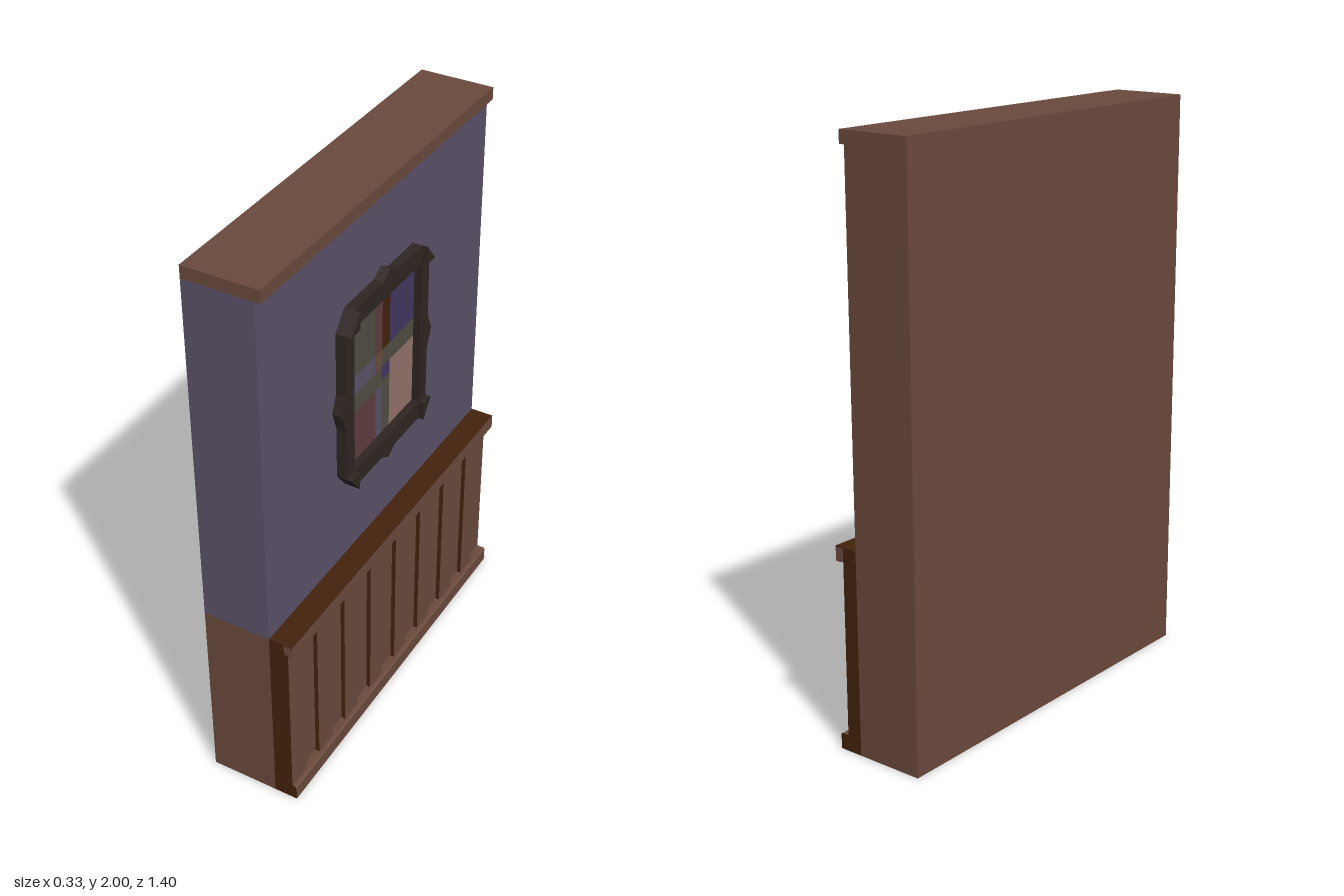
import * as THREE from 'three';

const mat = (name, color) => {
  const m = new THREE.MeshStandardMaterial({ color });
  m.name = name;
  return m;
};

export function createModel() {
  const group = new THREE.Group();
  const wood = mat('brown wood', 0x6a493c);
  const dark = mat('dark brown wood', 0x43220c);
  const paint = mat('purple paint', 0x5a5168);
  const iron = mat('frame black', 0x2e2522);
  const olive = mat('olive glass', 0x504c42);
  const rose = mat('rose glass', 0x5c3c3c);
  const indigo = mat('indigo glass', 0x42365f);
  const pink = mat('pink glass', 0x92736a);

  const add = (name, geo, material) => {
    const mesh = new THREE.Mesh(geo, material);
    mesh.name = name;
    group.add(mesh);
    return mesh;
  };
  // Box from its limits; faces in the order +x, -x, +y, -y, +z, -z
  const block = (name, [x0, x1], [y0, y1], [z0, z1], material) => {
    const geo = new THREE.BoxGeometry(x1 - x0, y1 - y0, z1 - z0);
    geo.translate((x0 + x1) / 2, (y0 + y1) / 2, (z0 + z1) / 2);
    return add(name, geo, material);
  };
  // Shape drawn on the wall face (u = -z, v = y), extruded outward along x
  const onWall = (name, shape, x0, x1, material) => {
    const geo = new THREE.ExtrudeGeometry(shape, { depth: x1 - x0, bevelEnabled: false });
    geo.rotateY(Math.PI / 2).translate(x0, 0, 0);
    return add(name, geo, material);
  };
  const poly = (pts) => new THREE.Shape(pts.map(([u, v]) => new THREE.Vector2(u, v)));

  // Wall
  const back = -0.165, face = 0.077, L = 0.7, full = [-L, L];
  block('lowerWall', [back, face], [0, 0.7], full, wood);
  block('upperWall', [back, face], [0.7, 1.957], full, [paint, wood, wood, wood, paint, wood]);
  block('cornice', [back, 0.097], [1.957, 2], full, wood);

  // Wainscot with alternating raised and sunken boards
  const count = 16, w = 2 * L / count;
  block('wainscotBacking', [face, 0.131], [0, 0.699], full, [wood, dark, dark, wood, dark, dark]);
  for (let i = 0; i < count; i += 2) {
    const z = L - i * w;
    block('raisedBoard', [0.131, 0.146], [0.05, 0.66], [z - w, z], [wood, wood, dark, wood, dark, dark]);
  }
  // Rails, with sloped back edge on the upper one and sloped top on the lower one
  const rail = (name, pts, mats) => {
    const geo = new THREE.ExtrudeGeometry(poly(pts), { depth: 2 * L, bevelEnabled: false });
    add(name, geo.translate(0, 0, -L), mats);
  };
  rail('chairRail', [[0.14, 0.65], [0.162, 0.65], [0.162, 0.698], [0.131, 0.698]], wood);
  rail('baseboard', [[0.12, 0], [0.162, 0], [0.162, 0.052], [0.156, 0.056], [0.12, 0.056]], [dark, wood]);
  block('railTop', [face, 0.162], [0.698, 0.701], full, [wood, dark, dark, wood, dark, dark]);

  // Window frame with small points at the middle of each side
  const U0 = -0.275, U1 = 0.255, V0 = 0.992, V1 = 1.67;
  const u0 = -0.222, u1 = 0.206, v0 = 1.06, v1 = 1.606;
  const outline = poly([
    [U0, v0], [u0, V0], [-0.045, V0], [0, 0.965], [0.045, V0], [u1, V0], [U1, v0],
    [U1, 1.25], [0.281, 1.32], [U1, 1.385], [U1, v1], [u1, V1],
    [0.045, V1], [0, 1.697], [-0.045, V1], [u0, V1], [U0, v1],
    [U0, 1.385], [-0.299, 1.32], [U0, 1.25],
  ]);
  outline.holes.push(poly([[u0, v0], [u0, v1], [u1, v1], [u1, v0]]));
  onWall('windowFrame', outline, face, 0.112, iron);
  // Raised corner pieces
  for (const [a, b] of [[U0, u0], [U1, u1]])
    for (const [c, d] of [[V0, v0], [V1, v1]])
      onWall('frameCorner', poly([[a, d], [b, c], [b, d]]), 0.11, 0.132, iron);

  // Stained glass panes: u from, u to, v from, v to
  const a = -0.048, m = 0, b = 0.048;
  const rows = [1.25, 1.32, 1.388];
  const panes = [
    [u0, a, rows[2], v1, olive], [a, m, rows[2], v1, rose],
    [m, b, rows[2], v1, dark], [b, u1, rows[2], v1, indigo],
    [u0, a, rows[1], rows[2], paint], [a, m, rows[1], rows[2], wood],
    [m, u1, rows[1], rows[2], olive],
    [u0, m, rows[0], rows[1], olive], [m, b, 1.27, rows[1], indigo],
    [u0, -0.042, v0, rows[0], rose], [-0.042, m, v0, rows[0], paint],
    [m, b, v0, 1.27, olive], [b, u1, v0, rows[1], pink],
  ];
  for (const [p, q, r, s, material] of panes)
    block('glassPane', [face, 0.085], [r, s], [-q, -p], material);

  return group;
}
